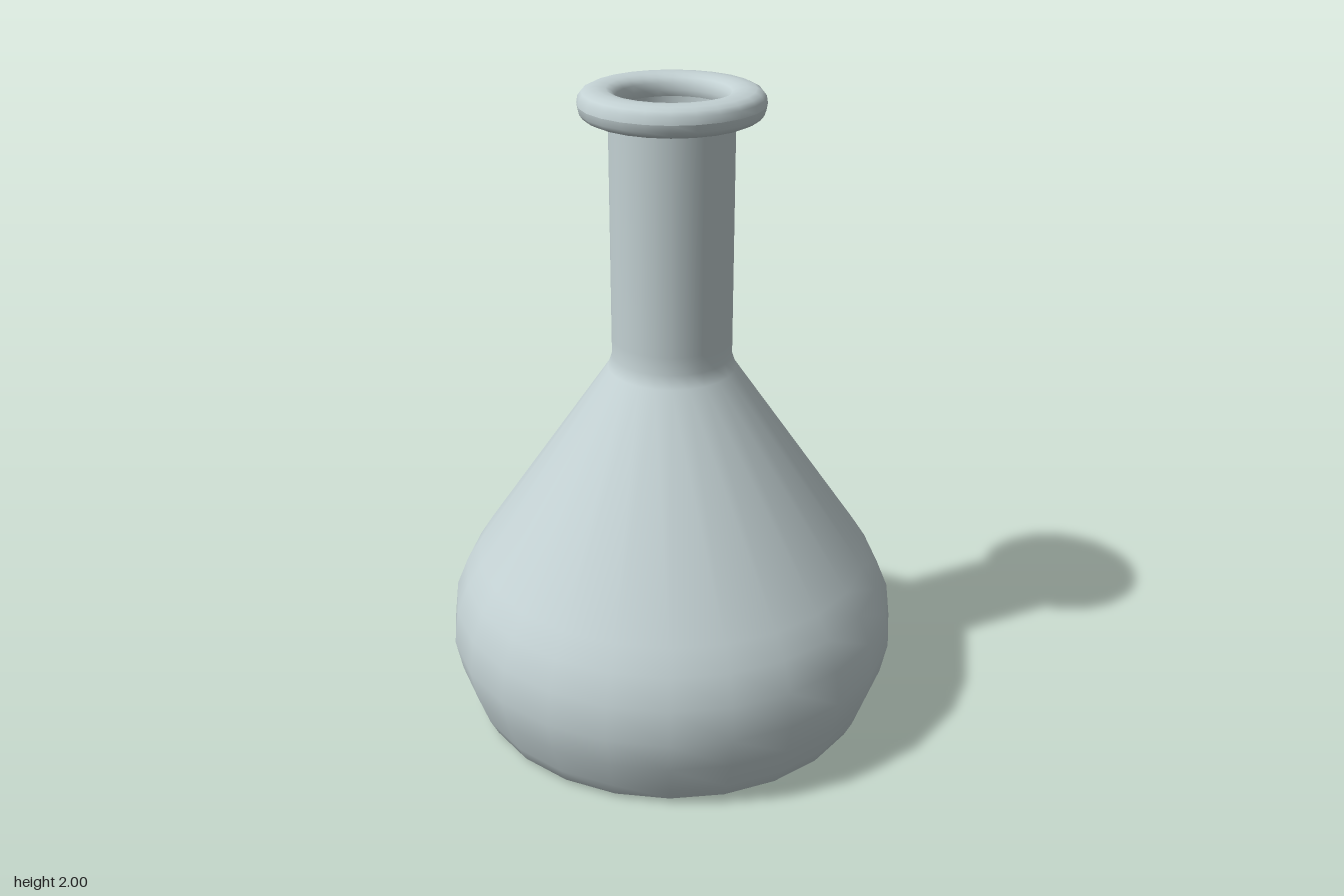
import * as THREE from 'three';

const SEGMENTS = 24;

function lathe(name, points, material) {
  const profile = points.map(([r, y]) => new THREE.Vector2(r, y));
  const mesh = new THREE.Mesh(new THREE.LatheGeometry(profile, SEGMENTS), material);
  mesh.name = name;
  return mesh;
}

export function createModel() {
  const group = new THREE.Group();
  group.name = 'flask';
  const glass = new THREE.MeshStandardMaterial({ color: 0xc3d1d3, side: THREE.DoubleSide });
  const grey = new THREE.MeshStandardMaterial({ color: 0xcccccc });

  // flat base
  group.add(lathe('base', [[0, 0.005], [0.61, 0.005]], glass));

  // rounded belly, sloping shoulder and straight neck
  group.add(lathe('body', [
    [0.61, 0.005], [0.63, 0.02], [0.655, 0.07], [0.69, 0.17], [0.71, 0.27],
    [0.697, 0.38], [0.66, 0.47], [0.615, 0.54], [0.195, 1.155], [0.182, 1.195],
    [0.182, 1.25], [0.182, 1.92],
  ], glass));

  // inside of the neck, running down from the mouth
  group.add(lathe('neckInside', [[0.16, 1.95], [0.16, 1.15]], glass));

  // rolled lip: a flattened ring closed on itself
  const lip = [];
  for (let i = 0; i <= 16; i++) {
    const a = (i / 16) * Math.PI * 2;
    const flat = (v) => Math.sign(v) * Math.pow(Math.abs(v), 0.8);
    lip.push([0.2135 + 0.0565 * flat(Math.cos(a)), 1.955 + 0.045 * flat(Math.sin(a))]);
  }
  group.add(lathe('lip', lip, glass));

  // contents filling the belly, with a domed surface in the neck
  const contents = [
    [0, 0.03], [0.59, 0.03], [0.635, 0.08], [0.67, 0.17], [0.69, 0.27],
    [0.677, 0.38], [0.64, 0.465], [0.595, 0.53], [0.17, 1.145],
  ];
  for (let i = 0; i <= 8; i++) {
    const a = (i / 8) * Math.PI / 2;
    contents.push([0.158 * Math.cos(a), 1.17 + 0.12 * Math.sin(a)]);
  }
  group.add(lathe('contents', contents, grey));

  return group;
}
